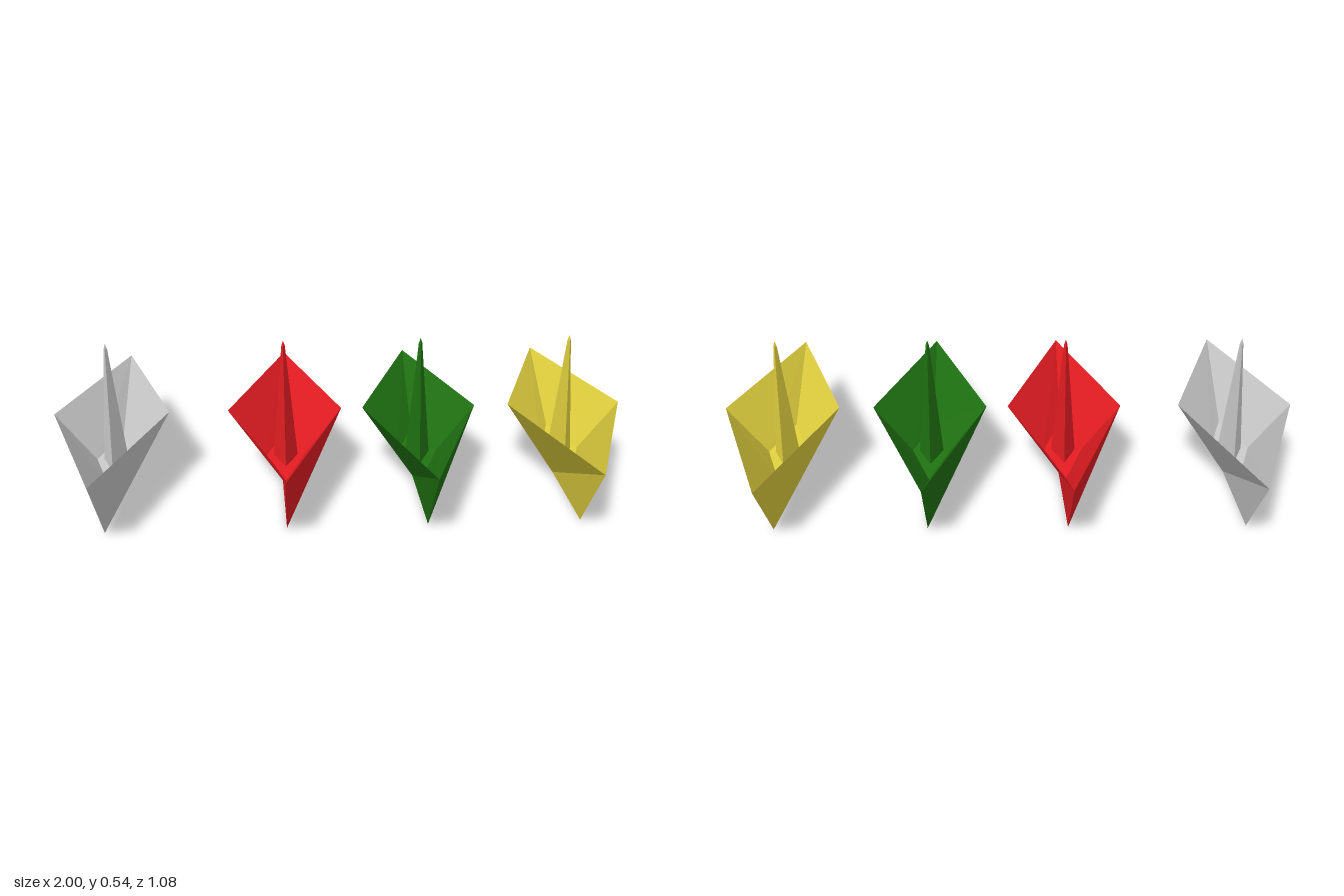
import * as THREE from 'three';

// Joins diamond-shaped rings [halfX, y, halfZ] into one faceted surface;
// a ring of zero size closes the end.
function diamondLoft(rings) {
  const corner = ([x, y, z], i) => [[x, y, 0], [0, y, z], [-x, y, 0], [0, y, -z]][i % 4];
  const positions = [];
  for (let r = 0; r < rings.length - 1; r++) {
    const lower = rings[r], upper = rings[r + 1];
    for (let i = 0; i < 4; i++) {
      const a = corner(lower, i), b = corner(lower, i + 1);
      const c = corner(upper, i), d = corner(upper, i + 1);
      if (lower[0] > 0) positions.push(...a, ...c, ...b);
      if (upper[0] > 0) positions.push(...b, ...c, ...d);
    }
  }
  const geometry = new THREE.BufferGeometry();
  geometry.setAttribute('position', new THREE.Float32BufferAttribute(positions, 3));
  geometry.computeVertexNormals();
  return geometry;
}

export function createModel() {
  const model = new THREE.Group();
  model.name = 'paperBoats';

  // Hull: keel, outer walls, rim, sloping inner walls, raised floor
  const hullGeometry = diamondLoft([
    [0, 0, 0], [0.013, 0, 0.34], [0.2, 0.28, 0.538], [0.068, 0.1, 0.193], [0, 0.1, 0],
  ]);
  // Peak: slender spire standing on the floor, with a blunt tip
  const peakGeometry = diamondLoft([
    [0.043, 0.1, 0.092], [0.006, 0.522, 0.012], [0, 0.54, 0],
  ]);

  const boats = [
    ['grey', -0.8, 0xcccccc],
    ['red', -0.195, 0xe81d23],
    ['green', 0.28, 0x207412],
    ['yellow', 0.8, 0xe3d23f],
  ];
  for (const [name, x, color] of boats) {
    const material = new THREE.MeshStandardMaterial({ color, flatShading: true });
    const boat = new THREE.Group();
    boat.name = name + 'Boat';
    boat.position.x = x;
    const hull = new THREE.Mesh(hullGeometry, material);
    hull.name = 'hull';
    const peak = new THREE.Mesh(peakGeometry, material);
    peak.name = 'peak';
    boat.add(hull, peak);
    model.add(boat);
  }
  return model;
}
